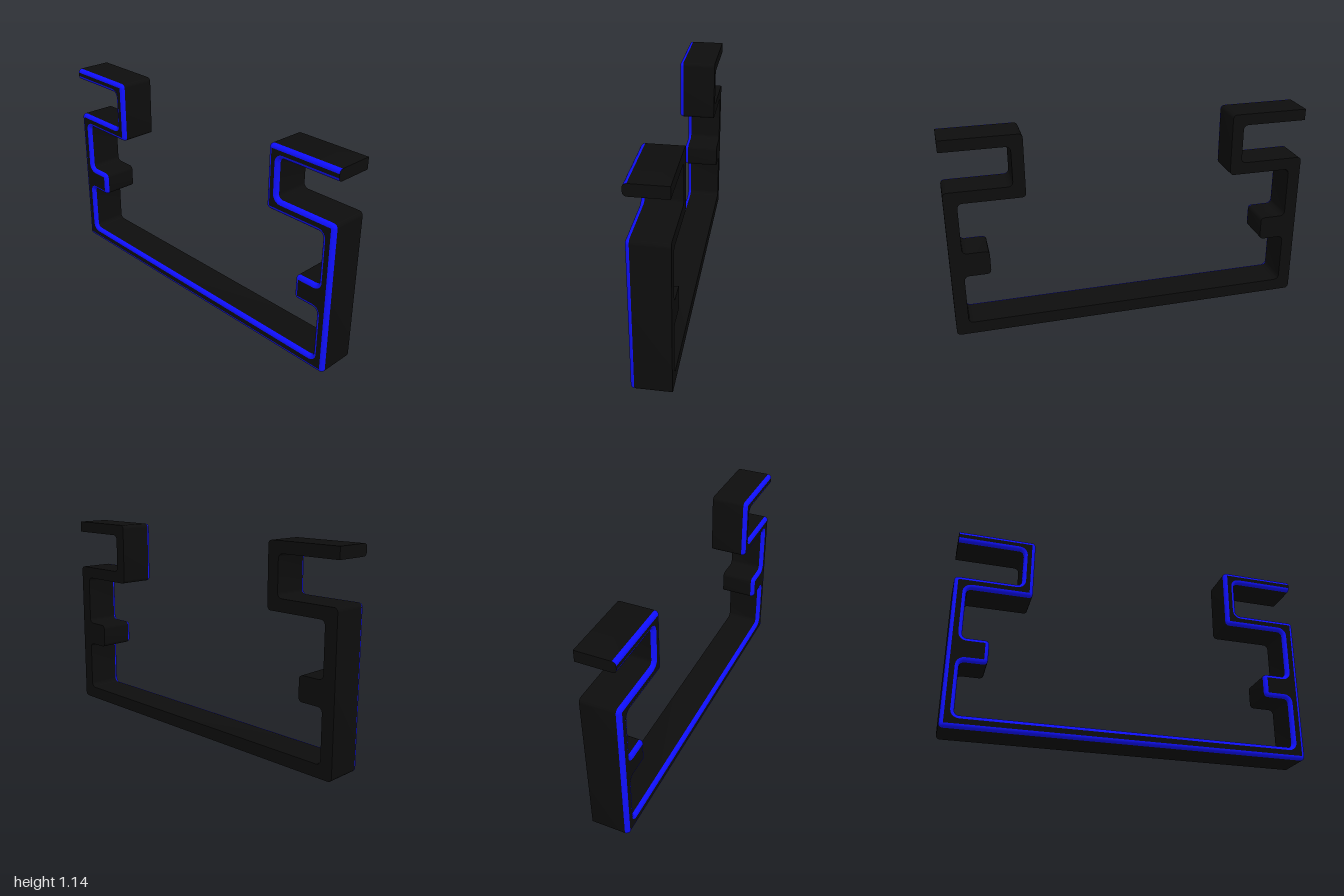
import * as THREE from 'three';
import { toCreasedNormals } from 'three/addons/utils/BufferGeometryUtils.js';

const BACK = -0.105, FRONT = 0.105, FILLET = 0.021, STEPS = 5, ARC = 5;

// Corners of the left half, from the base up around the hook and back: x, y, corner radius
const HALF = [
  [1, 0, 0.022], [1, 0.857, 0.022], [0.637, 0.857, 0.026], [0.637, 1.077, 0.026],
  [1, 1.077, 0], [1, 1.14, 0], [0.572, 1.14, 0.022], [0.572, 0.79, 0.022],
  [0.93, 0.79, 0.026], [0.93, 0.498, 0.026], [0.785, 0.498, 0.022], [0.785, 0.362, 0.022],
  [0.93, 0.362, 0.026], [0.93, 0.07, 0.026],
];
const CORNERS = [...HALF, ...HALF.map(([x, y, r]) => [-x, y, r]).reverse()];

// Outline moved inward by d, with rounded corners; the cut arm ends stay in place
function outline(d) {
  const n = CORNERS.length, points = [];
  for (let i = 0; i < n; i++) {
    const p = CORNERS[(i + n - 1) % n], c = CORNERS[i], q = CORNERS[(i + 1) % n];
    const u = new THREE.Vector2(c[0] - p[0], c[1] - p[1]).normalize();
    const v = new THREE.Vector2(q[0] - c[0], q[1] - c[1]).normalize();
    const du = p[2] === 0 && c[2] === 0 ? 0 : d;
    const dv = c[2] === 0 && q[2] === 0 ? 0 : d;
    const corner = new THREE.Vector2(c[0] - u.y * du - v.y * dv, c[1] + u.x * du + v.x * dv);
    if (c[2] === 0) { points.push(corner); continue; }
    const convex = u.cross(v) > 0;
    const r = Math.max(0.001, c[2] + (convex ? -d : d));
    // Arc centre lies on the inner side of the bend
    const centre = corner.clone().addScaledVector(u, -r).addScaledVector(v, r);
    for (let k = 0; k <= ARC; k++) {
      const a = (k / ARC) * Math.PI / 2;
      points.push(centre.clone().addScaledVector(v, -r * Math.cos(a)).addScaledVector(u, r * Math.sin(a)));
    }
  }
  return points;
}

function mesh(name, positions, color) {
  const geometry = new THREE.BufferGeometry();
  geometry.setAttribute('position', new THREE.Float32BufferAttribute(positions, 3));
  const result = new THREE.Mesh(toCreasedNormals(geometry, 0.6), new THREE.MeshStandardMaterial({ color }));
  result.name = name;
  return result;
}

export function createModel() {
  const body = [], trim = [];

  // Back outline, then the rings of the rounded front edge
  const rings = [{ points: outline(0), z: BACK }];
  for (let s = 0; s <= STEPS; s++) {
    const a = (s / STEPS) * Math.PI / 2;
    rings.push({ points: outline(FILLET * (1 - Math.cos(a))), z: FRONT - FILLET * (1 - Math.sin(a)) });
  }

  // Side walls and front rounding; the cut arm ends belong to the body
  const isEnd = (p, q) => p.y > 1 && q.y > 1 && Math.abs(p.x) > 0.999 && Math.abs(q.x) > 0.999;
  for (let s = 0; s + 1 < rings.length; s++) {
    const lo = rings[s], hi = rings[s + 1], n = lo.points.length;
    for (let i = 0; i < n; i++) {
      const j = (i + 1) % n;
      const [a, b, c, d] = [lo.points[i], lo.points[j], hi.points[j], hi.points[i]];
      const target = s === 0 || isEnd(a, b) ? body : trim;
      target.push(a.x, a.y, lo.z, b.x, b.y, lo.z, c.x, c.y, hi.z);
      target.push(a.x, a.y, lo.z, c.x, c.y, hi.z, d.x, d.y, hi.z);
    }
  }

  // Flat back and front faces
  for (const [ring, front] of [[rings[0], false], [rings[rings.length - 1], true]]) {
    for (const face of THREE.ShapeUtils.triangulateShape(ring.points, [])) {
      const [a, b, c] = face.map((i) => ring.points[i]);
      const ccw = (b.x - a.x) * (c.y - a.y) - (b.y - a.y) * (c.x - a.x) > 0;
      for (const p of ccw === front ? [a, b, c] : [a, c, b]) body.push(p.x, p.y, ring.z);
    }
  }

  const group = new THREE.Group();
  group.name = 'bracketFrame';
  group.add(mesh('frameBody', body, 0x0d0d0d), mesh('roundedEdgeTrim', trim, 0x0f0fff));
  return group;
}
